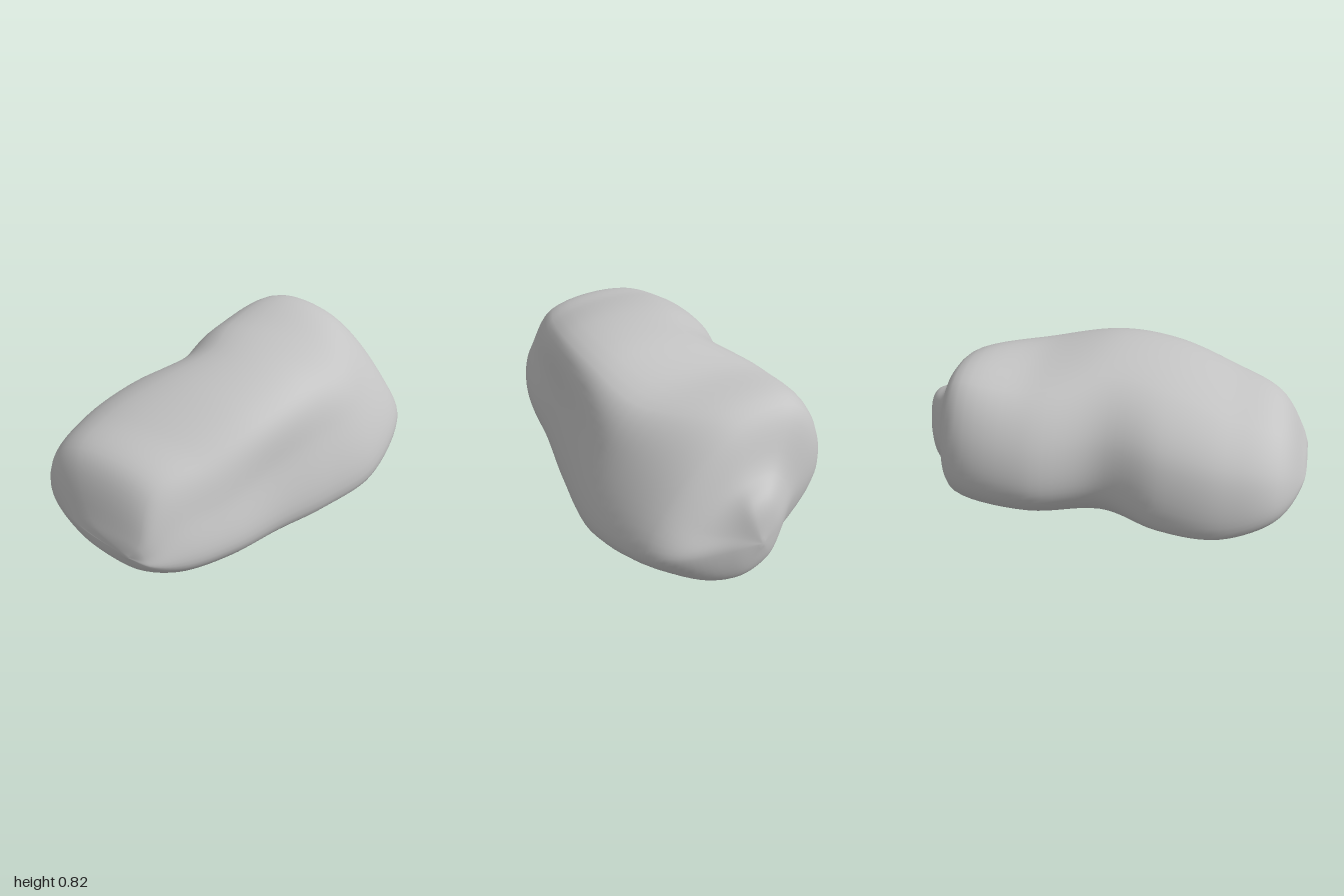
import * as THREE from 'three';
import { mergeVertices } from 'three/addons/utils/BufferGeometryUtils.js';

const { lerp } = THREE.MathUtils;

// Stations from front to back: z, left x, right x, bottom y, top y,
// left crest x, right crest x, left belly y, right belly y
const stations = [
  [1, 0.1, 0.1, 0.34, 0.34, 0.1, 0.1, 0.34, 0.34],
  [0.97, -0.26, 0.21, 0.25, 0.42, -0.12, 0.14, 0.34, 0.32],
  [0.84, -0.52, 0.31, 0.14, 0.66, -0.3, 0.13, 0.31, 0.27],
  [0.6, -0.6, 0.41, 0.07, 0.74, -0.32, 0.24, 0.23, 0.24],
  [0.3, -0.58, 0.46, 0.03, 0.82, -0.23, 0.33, 0.24, 0.18],
  [0, -0.48, 0.53, 0.015, 0.84, -0.18, 0.36, 0.3, 0.13],
  [-0.35, -0.55, 0.59, 0.007, 0.785, -0.3, 0.32, 0.29, 0.11],
  [-0.73, -0.46, 0.53, 0.02, 0.78, -0.26, 0.08, 0.29, 0.19],
  [-0.86, -0.2, 0.43, 0.04, 0.56, -0.08, 0.1, 0.28, 0.23],
  [-0.96, -0.04, 0.22, 0.09, 0.48, 0.03, 0.12, 0.27, 0.26],
  [-1, 0.08, 0.08, 0.27, 0.27, 0.08, 0.08, 0.27, 0.27],
];

// Eight-cornered outline: flat foot, low wide belly, sloping shoulders, broad crest
function outline([z, left, right, bottom, top, crestL, crestR, bellyL, bellyR]) {
  const corner = (x, y) => new THREE.Vector3(x, y, z);
  const level = (height) => lerp(bottom, top, height);
  return [
    corner(lerp(left, right, 0.16), level(0.12)),
    corner(left, bellyL),
    corner(lerp(left, crestL, 0.18), level(0.69)),
    corner(crestL, level(0.94)),
    corner(crestR, level(0.93)),
    corner(lerp(crestR, right, 0.66), level(0.62)),
    corner(right, bellyR),
    corner(lerp(left, right, 0.77), level(0.01)),
  ];
}

// Smooth skin: curves along the length, then a closed curve around each ring
function boulderGeometry(rows, cols) {
  const outlines = stations.map(outline);
  const rails = outlines[0].map((_, j) => new THREE.CatmullRomCurve3(outlines.map((o) => o[j])));
  const positions = [];
  const index = [];
  for (let i = 0; i <= rows; i++) {
    const ring = new THREE.CatmullRomCurve3(rails.map((rail) => rail.getPoint(i / rows)), true);
    for (let j = 0; j < cols; j++) {
      positions.push(...ring.getPoint(j / cols).toArray());
      if (i === rows) continue;
      const a = i * cols + j;
      const b = i * cols + ((j + 1) % cols);
      if (i > 0) index.push(a, b, a + cols);
      if (i < rows - 1) index.push(b, b + cols, a + cols);
    }
  }
  const skin = new THREE.BufferGeometry();
  skin.setAttribute('position', new THREE.Float32BufferAttribute(positions, 3));
  skin.setIndex(index);

  // Join the pointed ends so the shading runs smoothly over them
  const geometry = mergeVertices(skin, 1e-5);
  geometry.computeVertexNormals();
  return geometry;
}

export function createModel() {
  const stone = new THREE.MeshStandardMaterial({ color: 0xc4c4c4 });
  stone.name = 'stone grey';
  const boulder = new THREE.Mesh(boulderGeometry(70, 64), stone);
  boulder.name = 'boulder';
  const group = new THREE.Group();
  group.name = 'rock';
  group.add(boulder);
  return group;
}
